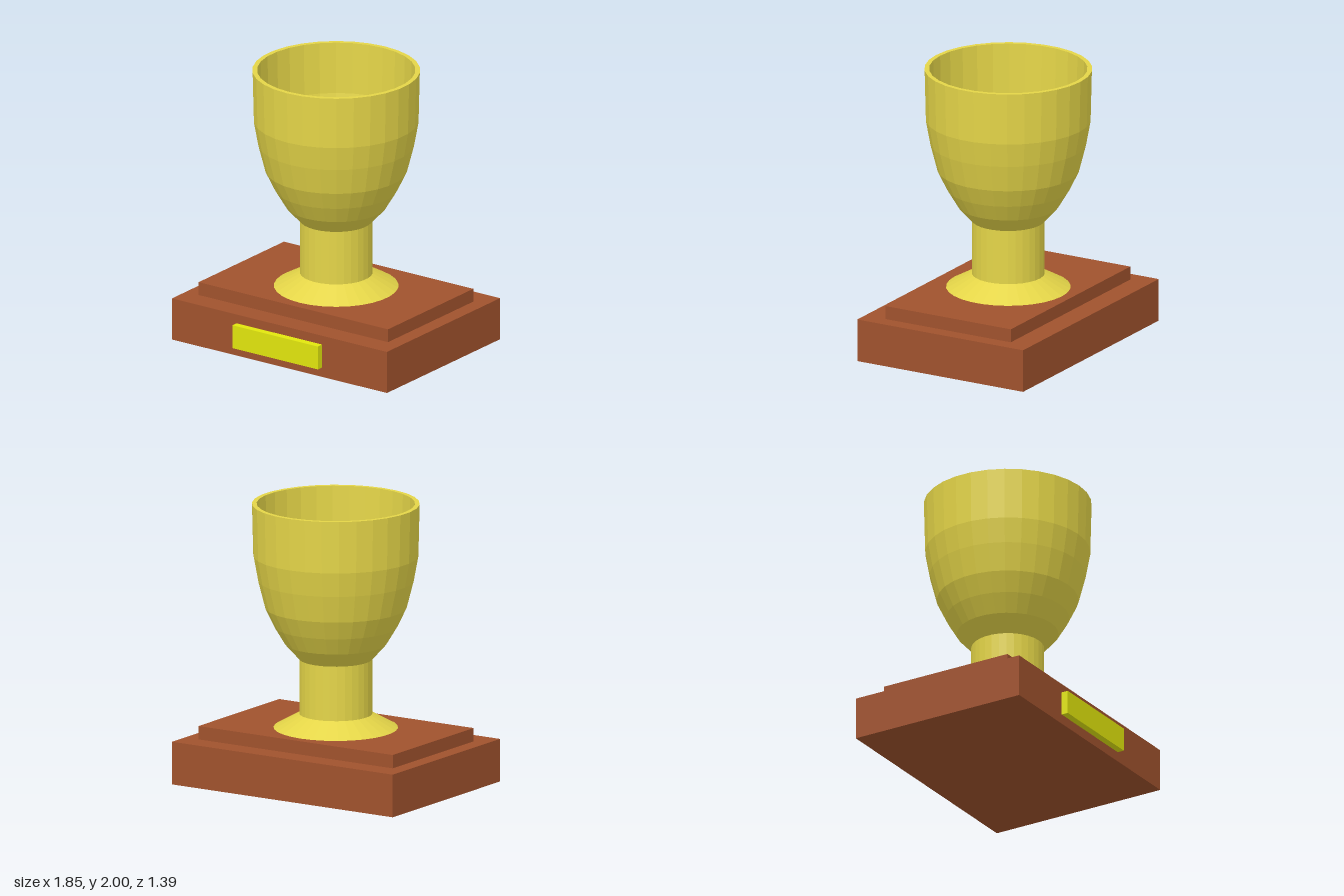
import * as THREE from 'three';

const Z = -0.025; // shared centre of the base and cup
const SIDES = 30;

const material = (color, options = {}) => new THREE.MeshStandardMaterial({ color, ...options });

function box(name, mat, w, y0, y1, z0, z1) {
  const mesh = new THREE.Mesh(new THREE.BoxGeometry(w, y1 - y0, z1 - z0), mat);
  mesh.position.set(0, (y0 + y1) / 2, (z0 + z1) / 2);
  mesh.name = name;
  return mesh;
}

function turned(name, mat, profile) {
  const points = profile.map(([r, y]) => new THREE.Vector2(r, y));
  const mesh = new THREE.Mesh(new THREE.LatheGeometry(points, SIDES), mat);
  mesh.position.z = Z;
  mesh.name = name;
  return mesh;
}

export function createModel() {
  const group = new THREE.Group();
  group.name = 'trophy';
  const wood = material(0xa0522d);
  const gold = material(0xe4d548, { flatShading: true, side: THREE.DoubleSide });
  const brass = material(0xe1e60d);

  // Stepped plinth with a plate on the front
  group.add(
    box('plinth', wood, 1.85, 0, 0.305, -0.695, 0.65),
    box('plinthStep', wood, 1.63, 0.305, 0.4, -0.53, 0.485),
    box('plate', brass, 0.735, 0.07, 0.24, 0.64, 0.7),
  );

  // Flared foot and straight stem
  group.add(
    turned('foot', gold, [[0, 0.4], [0.435, 0.4], [0.255, 0.5]]),
    turned('stem', gold, [[0.255, 0.5], [0.255, 0.89]]),
  );

  // Hollow bowl: up the outside, over the rim, down the inside to a flat floor
  group.add(turned('bowl', gold, [
    [0, 0.89], [0.255, 0.89], [0.355, 1.0], [0.43, 1.125], [0.495, 1.26],
    [0.545, 1.455], [0.577, 1.63], [0.586, 2],
    [0.553, 2], [0.543, 1.63], [0.511, 1.46], [0.462, 1.275],
    [0.4, 1.145], [0.328, 1.02], [0.237, 0.915], [0, 0.915],
  ]));

  return group;
}
